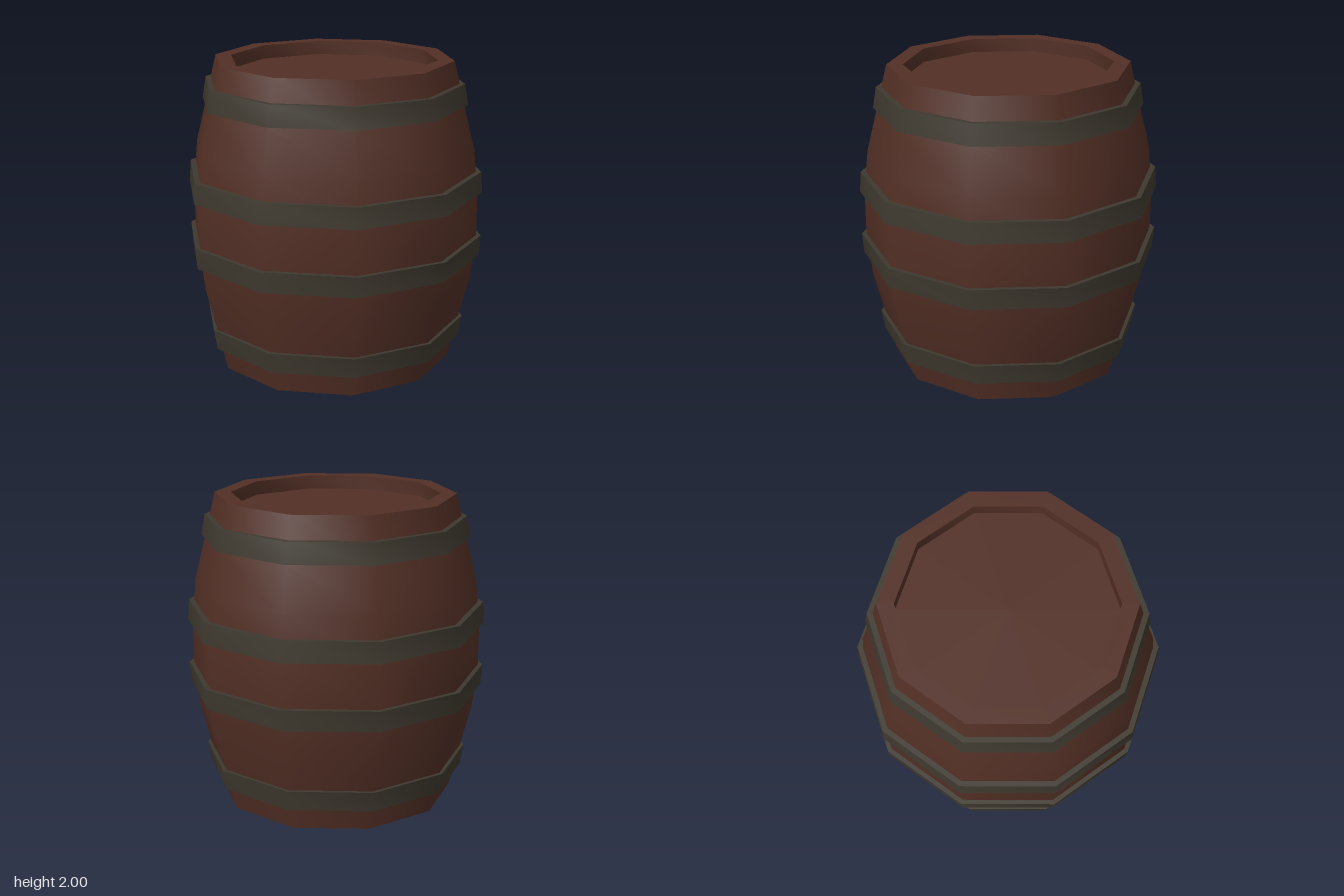
import * as THREE from 'three';
import { toCreasedNormals } from 'three/addons/utils/BufferGeometryUtils.js';

const SIDES = 10;

// Ten-sided turned solid with a corner on +x; smooth round the sides, sharp at rims
function turned(name, profile, material) {
  const points = profile.map(([r, y]) => new THREE.Vector2(r, y));
  const lathe = new THREE.LatheGeometry(points, SIDES, Math.PI / 2);
  const mesh = new THREE.Mesh(toCreasedNormals(lathe, 0.9), material);
  mesh.name = name;
  return mesh;
}

export function createModel() {
  const wood = new THREE.MeshStandardMaterial({ color: 0x522f25 });
  wood.name = 'brown wood';
  const iron = new THREE.MeshStandardMaterial({ color: 0x3e392f });
  iron.name = 'dark iron';

  const barrel = new THREE.Group();
  barrel.name = 'barrel';

  // Staves and recessed ends: lower half from the axis outwards, then mirrored
  const lower = [[0, 0.09], [0.67, 0.09], [0.67, 0], [0.775, 0], [0.845, 0.29], [0.915, 0.57], [0.945, 0.86]];
  const upper = lower.map(([r, y]) => [r, 2 - y]).reverse();
  barrel.add(turned('woodenBody', [...lower, ...upper], wood));

  // Hoops: [name, bottom height, bottom radius, top radius]
  const hoops = [
    ['bottomHoop', 0.15, 0.845, 0.868],
    ['lowerMiddleHoop', 0.72, 0.965, 0.975],
    ['upperMiddleHoop', 1.15, 0.975, 0.965],
    ['topHoop', 1.72, 0.868, 0.845],
  ];
  for (const [name, y, r0, r1] of hoops) {
    const y1 = y + 0.135;
    const inset = 0.06;
    barrel.add(turned(name, [[r0 - inset, y], [r0, y], [r1, y1], [r1 - inset, y1]], iron));
  }
  return barrel;
}
